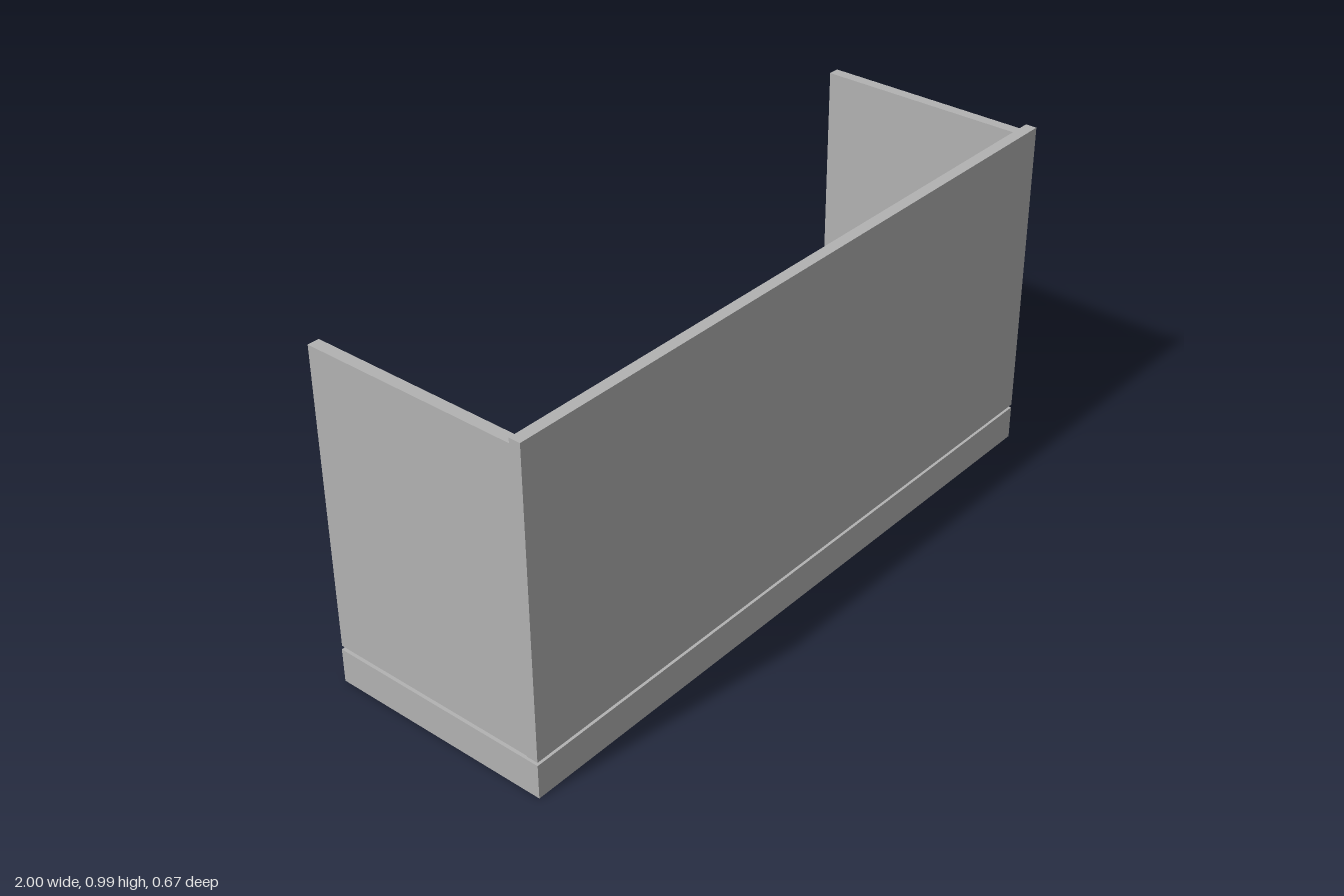
import * as THREE from 'three';

export function createModel() {
  const model = new THREE.Group();
  model.name = 'counter';
  const grey = new THREE.MeshStandardMaterial({ color: 0xb2b2b2 });
  grey.name = 'grey';

  // Box given by its minimum and maximum corners
  const addBox = (name, [x0, y0, z0], [x1, y1, z1]) => {
    const mesh = new THREE.Mesh(new THREE.BoxGeometry(x1 - x0, y1 - y0, z1 - z0), grey);
    mesh.position.set((x0 + x1) / 2, (y0 + y1) / 2, (z0 + z1) / 2);
    mesh.name = name;
    model.add(mesh);
  };

  const depth = 0.333; // half depth
  const gap = 0.11;    // panels float just above the base
  const wall = 0.977;  // top of side panels and backing

  addBox('base', [-1, 0, -depth], [1, 0.1, depth]);

  // Front panel with a slightly lower backing layer
  addBox('frontPanel', [-1, gap, 0.3], [1, 0.993, depth]);
  addBox('frontBacking', [-0.998, gap, 0.287], [0.998, wall, 0.3]);

  // Side panels
  addBox('leftPanel', [0.965, gap, -depth], [0.998, wall, 0.287]);
  addBox('rightPanel', [-0.998, gap, -depth], [-0.965, wall, 0.287]);

  return model;
}
